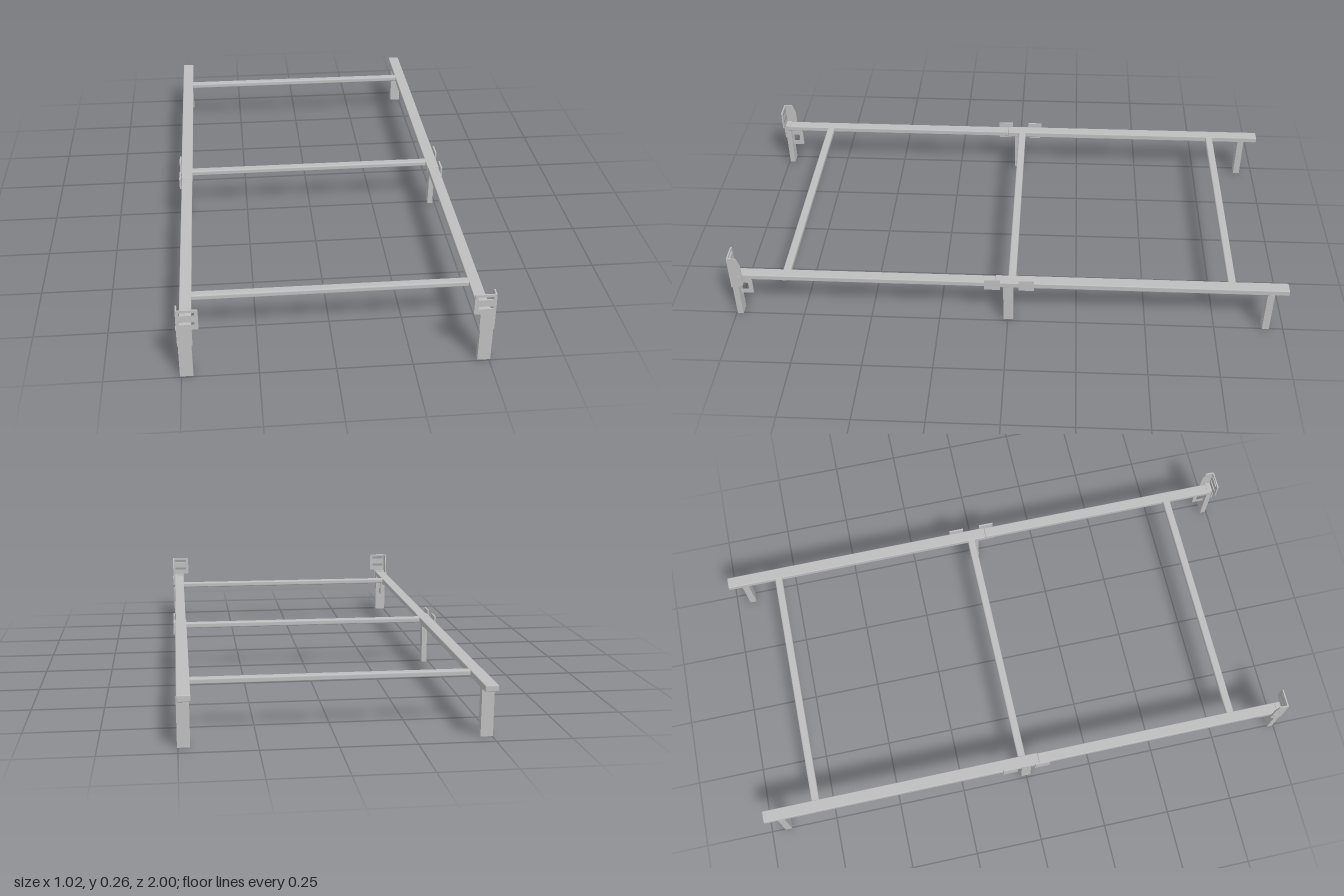
import * as THREE from 'three';
import { RoundedBoxGeometry } from 'three/addons/geometries/RoundedBoxGeometry.js';

const steel = new THREE.MeshStandardMaterial({ color: 0xbebebe });
steel.name = 'light grey steel';

function add(parent, name, geometry) {
  const mesh = new THREE.Mesh(geometry, steel);
  mesh.name = name;
  parent.add(mesh);
  return mesh;
}

// Box given by its lower and upper limits on each axis, with optional edge radius
function box(parent, name, [x0, x1], [y0, y1], [z0, z1], r = 0) {
  const size = [x1 - x0, y1 - y0, z1 - z0];
  const geometry = r ? new RoundedBoxGeometry(...size, 2, r) : new THREE.BoxGeometry(...size);
  add(parent, name, geometry).position.set((x0 + x1) / 2, (y0 + y1) / 2, (z0 + z1) / 2);
}

// Closed outline with softened corners
function outline(points, r, Type = THREE.Shape) {
  const path = new Type();
  const pts = points.map(([x, y]) => new THREE.Vector2(x, y));
  pts.forEach((p, i) => {
    const toward = (q) => p.clone().add(q.clone().sub(p).setLength(r));
    const a = toward(pts[(i + pts.length - 1) % pts.length]);
    const b = toward(pts[(i + 1) % pts.length]);
    if (i) path.lineTo(a.x, a.y); else path.moveTo(a.x, a.y);
    path.quadraticCurveTo(p.x, p.y, b.x, b.y);
  });
  path.closePath();
  return path;
}

const rect = (x0, x1, y0, y1) => [[x0, y0], [x1, y0], [x1, y1], [x0, y1]];

function plate(points, holes, depth, r) {
  const shape = outline(points, r);
  for (const h of holes) shape.holes.push(outline(h, 0.004, THREE.Path));
  return new THREE.ExtrudeGeometry(shape, { depth, bevelEnabled: false, curveSegments: 4 });
}

// Everything on one side; s = 1 is the model's left, -1 its right
function buildSide(s) {
  const side = new THREE.Group();
  side.name = s > 0 ? 'leftSide' : 'rightSide';
  const X = (a, b) => (s > 0 ? [a, b] : [-b, -a]);

  // Rail in two halves joined near the middle
  box(side, 'frontRail', X(0.46, 0.5), [0.163, 0.183], [0.045, 0.99], 0.003);
  box(side, 'rearRail', X(0.458, 0.502), [0.162, 0.184], [-1, 0.045], 0.003);

  // Legs
  box(side, 'frontLeg', X(0.462, 0.505), [0, 0.185], [0.975, 0.996]);
  box(side, 'middleLeg', X(0.472, 0.492), [0, 0.163], [-0.02, 0.016]);
  box(side, 'rearLeg', X(0.462, 0.503), [0, 0.163], [-0.949, -0.924]);

  // Folded clips on either side of the joint
  for (const z of [-0.067, 0.055]) {
    box(side, 'jointClipWall', X(0.502, 0.508), [0.156, 0.2], [z - 0.028, z + 0.028]);
    box(side, 'jointClipBase', X(0.462, 0.508), [0.156, 0.163], [z - 0.024, z + 0.024]);
  }

  // Small tabs under the rail where the cross bars meet it
  for (const z of [-0.795, 0.803]) {
    box(side, 'crossBarTab', X(0.462, 0.492), [0.153, 0.164], [z - 0.013, z + 0.013], 0.004);
  }

  // Slotted headboard plate facing forward
  const bracket = new THREE.Group();
  bracket.name = 'headboardBracket';
  side.add(bracket);
  const mirror = (pts) => pts.map(([x, y]) => [x * s, y]);
  const face = plate(
    mirror([[0.507, 0.125], [0.507, 0.263], [0.436, 0.263], [0.436, 0.189], [0.458, 0.189], [0.458, 0.125]]),
    [mirror(rect(0.447, 0.497, 0.243, 0.254)), mirror(rect(0.447, 0.497, 0.208, 0.218))],
    0.005, 0.006);
  add(bracket, 'headboardPlate', face).position.z = 0.995;

  // Outer flange and looped hook, drawn as (z, y) and turned to face sideways
  const sidePlate = (name, pts, holes, x) => {
    const flip = (list) => list.map(([z, y]) => [-z, y]);
    const mesh = add(bracket, name, plate(flip(pts), holes.map(flip), 0.005, 0.004));
    mesh.rotation.y = Math.PI / 2;
    mesh.position.x = s * x - 0.0025;
  };
  sidePlate('outerFlange',
    [[0.998, 0.13], [0.998, 0.263], [0.967, 0.263], [0.955, 0.225], [0.955, 0.14], [0.975, 0.13]], [], 0.5045);
  sidePlate('hook',
    [[0.985, 0.083], [0.985, 0.165], [0.945, 0.165], [0.93, 0.14], [0.93, 0.083]],
    [rect(0.945, 0.974, 0.103, 0.131)], 0.48);

  // Bolt through the flange
  const bolt = add(bracket, 'bolt', new THREE.CylinderGeometry(0.009, 0.009, 0.006, 16));
  bolt.rotation.z = Math.PI / 2;
  bolt.position.set(s * 0.507, 0.173, 0.968);
  return side;
}

export function createModel() {
  const model = new THREE.Group();
  model.name = 'bedFrame';
  model.add(buildSide(1), buildSide(-1));

  // Cross bars between the rails
  for (const [name, z] of [['rearCrossBar', -0.8], ['middleCrossBar', -0.015], ['frontCrossBar', 0.8]]) {
    box(model, name, [-0.465, 0.465], [0.163, 0.183], [z - 0.0145, z + 0.0145], 0.005);
  }
  return model;
}
